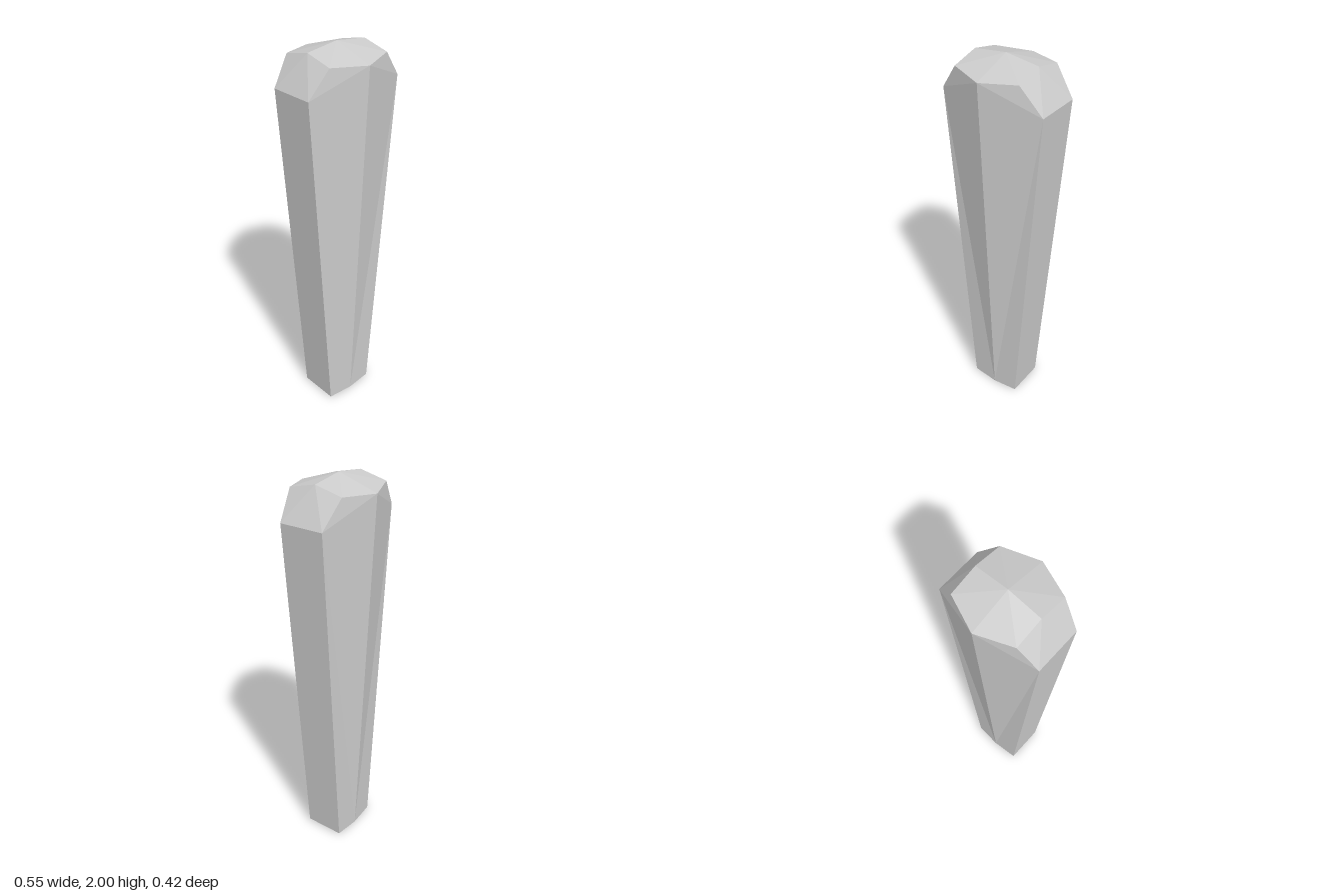
import * as THREE from 'three';

// Corner points of one quarter (+x, +z); the fourth value is a slight sideways offset
const P = {
  baseCentre: [0, 0, 0, -0.005],
  baseRidge: [0, 0, 0.115, -0.005],
  baseCorner: [0.14, 0.005, 0.105, -0.007],
  baseSide: [0.14, 0.005, 0, -0.007],
  shoulder: [0.275, 1.81, 0.117, 0],
  shoulderSide: [0.275, 1.81, 0, 0],
  ridge: [0, 1.935, 0.212, -0.003],
  crownCorner: [0.173, 1.945, 0.145, -0.004],
  crownSide: [0.173, 1.978, 0, -0.004],
  apex: [0, 2, 0, -0.005],
};

// Facets of each part, as triangles of one quarter
const PARTS = {
  shaft: [
    ['baseRidge', 'baseCorner', 'shoulder'],
    ['baseRidge', 'shoulder', 'ridge'],
    ['baseCorner', 'baseSide', 'shoulderSide'],
    ['baseCorner', 'shoulderSide', 'shoulder'],
  ],
  shoulderBevel: [
    ['ridge', 'shoulder', 'crownCorner'],
    ['shoulder', 'shoulderSide', 'crownSide'],
    ['shoulder', 'crownSide', 'crownCorner'],
  ],
  crown: [
    ['apex', 'ridge', 'crownCorner'],
    ['apex', 'crownCorner', 'crownSide'],
  ],
  base: [
    ['baseCentre', 'baseSide', 'baseCorner'],
    ['baseCentre', 'baseCorner', 'baseRidge'],
  ],
};

// Mirror the quarter facets into all four quarters
function mirroredGeometry(facets) {
  const positions = [];
  for (const sx of [1, -1]) {
    for (const sz of [1, -1]) {
      for (const facet of facets) {
        const order = sx * sz > 0 ? facet : [...facet].reverse();
        for (const name of order) {
          const [x, y, z, shift] = P[name];
          positions.push(sx * x + shift, y, sz * z);
        }
      }
    }
  }
  const geometry = new THREE.BufferGeometry();
  geometry.setAttribute('position', new THREE.Float32BufferAttribute(positions, 3));
  geometry.computeVertexNormals();
  return geometry;
}

export function createModel() {
  const group = new THREE.Group();
  group.name = 'taperedPost';
  const material = new THREE.MeshStandardMaterial({ color: 0xcccccc, flatShading: true });
  for (const [name, facets] of Object.entries(PARTS)) {
    const mesh = new THREE.Mesh(mirroredGeometry(facets), material);
    mesh.name = name;
    group.add(mesh);
  }
  return group;
}
